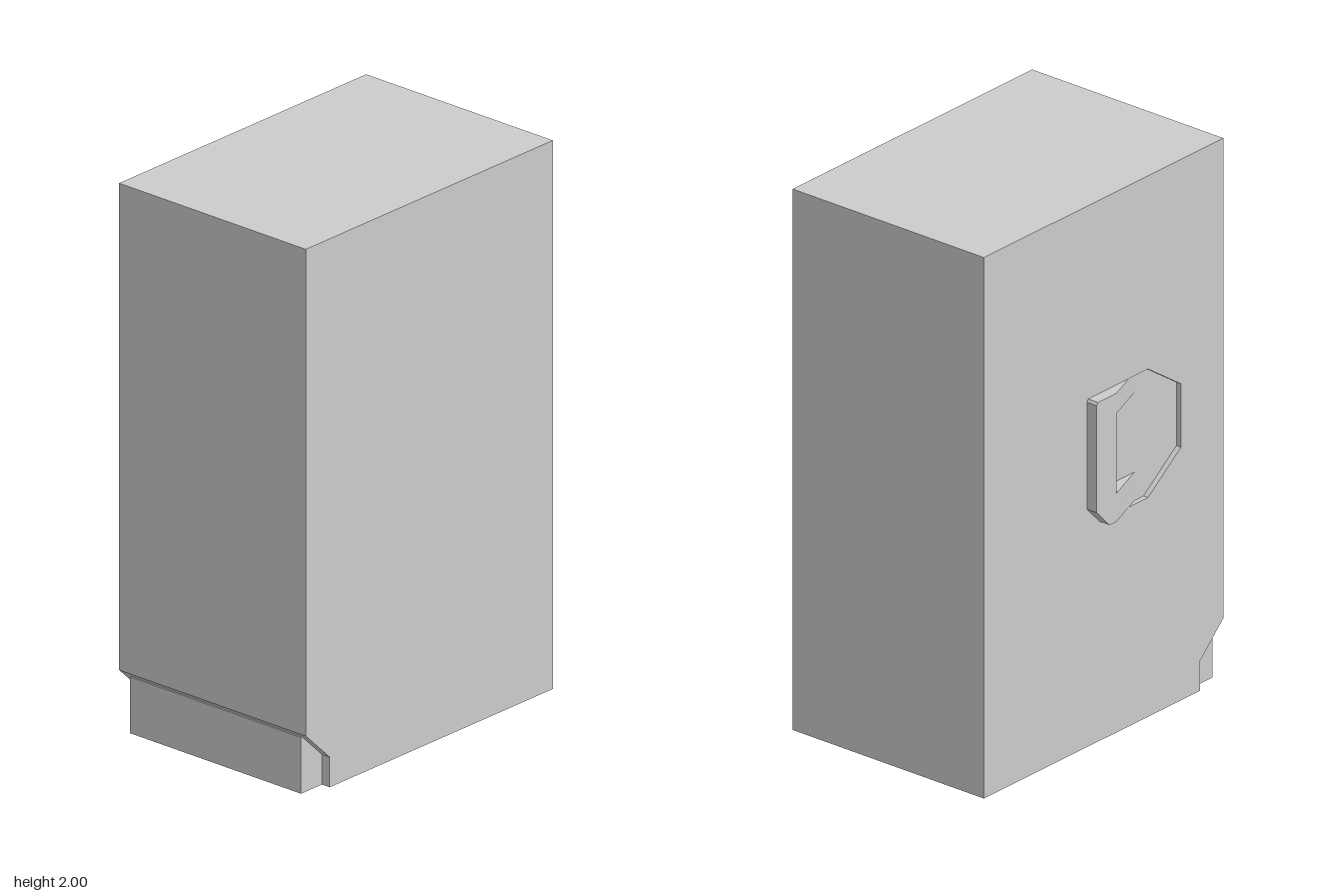
import * as THREE from 'three';

const material = new THREE.MeshStandardMaterial({ color: 0xcccccc, flatShading: true });

function polygon(points) {
  return new THREE.Shape(points.map(([a, b]) => new THREE.Vector2(a, b)));
}

// Extrude a (z, y) outline from x = start towards -x
function sidePiece(name, shape, start, depth) {
  const geo = new THREE.ExtrudeGeometry(shape, { depth, bevelEnabled: false });
  geo.rotateY(-Math.PI / 2).translate(start, 0, 0);
  const mesh = new THREE.Mesh(geo, material);
  mesh.name = name;
  return mesh;
}

export function createModel() {
  const model = new THREE.Group();
  model.name = 'cabinet';

  // Cabinet profile with a cut-back toe at the front
  const profile = [[-0.62, 0], [0.5, 0], [0.5, 0.11], [0.62, 0.225], [0.62, 2], [-0.62, 2]];
  const face = -0.4, floor = -0.38;
  model.add(sidePiece('body', polygon(profile), 0.44, 0.44 - floor));

  // Side panel with a shallow handle recess
  const panel = polygon(profile);
  panel.holes.push(polygon([
    [-0.08, 1.285], [0.23, 1.285], [0.4, 1.17], [0.4, 0.935],
    [0.23, 0.81], [-0.02, 0.81], [-0.087, 0.88], [-0.087, 1.275],
  ]));
  model.add(sidePiece('sidePanel', panel, floor, floor - face));

  // Toe kick plate
  const kick = new THREE.Mesh(new THREE.BoxGeometry(0.77, 0.205, 0.145), material);
  kick.name = 'kickPlate';
  kick.position.set(0.02, 0.1025, 0.5325);
  model.add(kick);

  // Handle: upright grip with two arms that taper into the recess
  const handle = new THREE.Group();
  handle.name = 'handle';
  handle.add(sidePiece('grip', polygon([
    [-0.08, 1.285], [0.015, 1.285], [0.015, 0.81],
    [-0.02, 0.81], [-0.087, 0.88], [-0.087, 1.275],
  ]), floor, 0.063));
  for (const [name, low, high] of [['upperArm', 1.21, 1.285], ['lowerArm', 0.81, 0.915]]) {
    const wedge = polygon([[floor, -0.015], [floor, -0.184], [-0.443, -0.015]]);
    const geo = new THREE.ExtrudeGeometry(wedge, { depth: high - low, bevelEnabled: false });
    geo.rotateX(-Math.PI / 2).translate(0, low, 0);
    const arm = new THREE.Mesh(geo, material);
    arm.name = name;
    handle.add(arm);
  }
  model.add(handle);
  return model;
}
